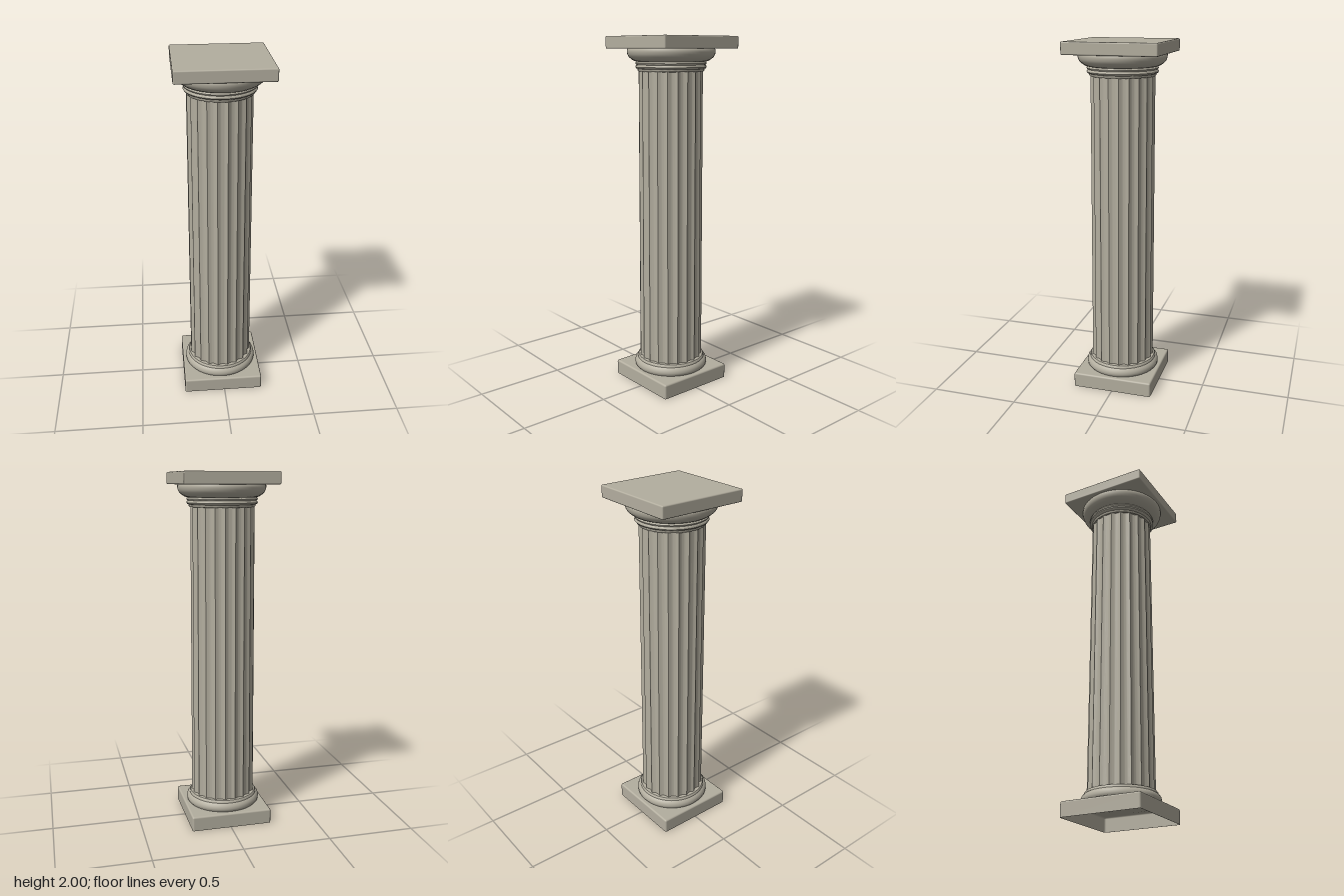
import * as THREE from 'three';
import { toCreasedNormals } from 'three/addons/utils/BufferGeometryUtils.js';
import { RoundedBoxGeometry } from 'three/addons/geometries/RoundedBoxGeometry.js';

export function createModel() {
  const model = new THREE.Group();
  const stone = new THREE.MeshStandardMaterial({ name: 'stone', color: 0xb3ae9f, side: THREE.DoubleSide });
  const shaftX = -0.007;

  const add = (name, geometry, x = 0, y = 0) => {
    const mesh = new THREE.Mesh(geometry, stone);
    mesh.name = name;
    mesh.position.set(x, y, 0);
    model.add(mesh);
  };
  // turned part from [radius, height] pairs, bottom to top
  const turned = (pairs) => toCreasedNormals(
    new THREE.LatheGeometry(pairs.map(([r, y]) => new THREE.Vector2(r, y)), 64), 0.75);

  // plinth: soft-edged square block, hollow and open underneath
  const top = 0.084, soft = 0.01;
  const plinth = new RoundedBoxGeometry(0.465, top + soft, 0.465, 3, soft);
  plinth.translate(0, (top - soft) / 2, 0);
  const p = plinth.attributes.position;
  for (let i = 0; i < p.count; i++) p.setY(i, Math.max(0, p.getY(i)));
  const underside = plinth.groups[3];
  const kept = [];
  for (let i = 0; i < p.count; i++) {
    if (i < underside.start || i >= underside.start + underside.count) kept.push(i);
  }
  plinth.setIndex(kept);
  plinth.clearGroups();
  add('plinth', plinth, shaftX);

  // base moulding: round cushion with a small step under the shaft
  add('baseMoulding', turned([
    [0.18, 0.08], [0.205, 0.083], [0.212, 0.092], [0.214, 0.104], [0.211, 0.118],
    [0.203, 0.129], [0.197, 0.133], [0.196, 0.142], [0.191, 0.148], [0.165, 0.15],
  ]), shaftX);

  // shaft: concave flutes meeting in sharp ridges, tapering slightly
  const flutes = 20, steps = 8, y0 = 0.14, y1 = 1.825;
  const outline = [];
  for (let i = 0; i < flutes * steps; i++) {
    const angle = ((i / steps + 0.5) / flutes) * Math.PI * 2;
    const r = 0.183 - 0.012 * Math.sin(((i % steps) / steps) * Math.PI);
    outline.push(new THREE.Vector2(r * Math.cos(angle), r * Math.sin(angle)));
  }
  const shaft = new THREE.ExtrudeGeometry(new THREE.Shape(outline), { depth: y1 - y0, bevelEnabled: false });
  shaft.rotateX(-Math.PI / 2);
  const s = shaft.attributes.position;
  for (let i = 0; i < s.count; i++) {
    const k = 1 - 0.025 * s.getY(i) / (y1 - y0);
    s.setX(i, s.getX(i) * k);
    s.setZ(i, s.getZ(i) * k);
  }
  add('flutedShaft', toCreasedNormals(shaft, 0.45), shaftX, y0);

  // neck rings
  add('neckRings', turned([
    [0.165, 1.81], [0.18, 1.811], [0.184, 1.816], [0.184, 1.824], [0.192, 1.827], [0.197, 1.834],
    [0.195, 1.842], [0.189, 1.846], [0.194, 1.849], [0.197, 1.855], [0.194, 1.861], [0.186, 1.864], [0.17, 1.866],
  ]), -0.004);

  // echinus flaring out to the top slab
  add('echinus', turned([
    [0.17, 1.86], [0.195, 1.864], [0.207, 1.868], [0.222, 1.878], [0.234, 1.889], [0.241, 1.902],
    [0.244, 1.915], [0.244, 1.927], [0.238, 1.935], [0.2, 1.938],
  ]), -0.002);

  // square top slab
  add('abacus', new RoundedBoxGeometry(0.52, 0.068, 0.52, 2, 0.007), 0, 1.966);

  return model;
}
